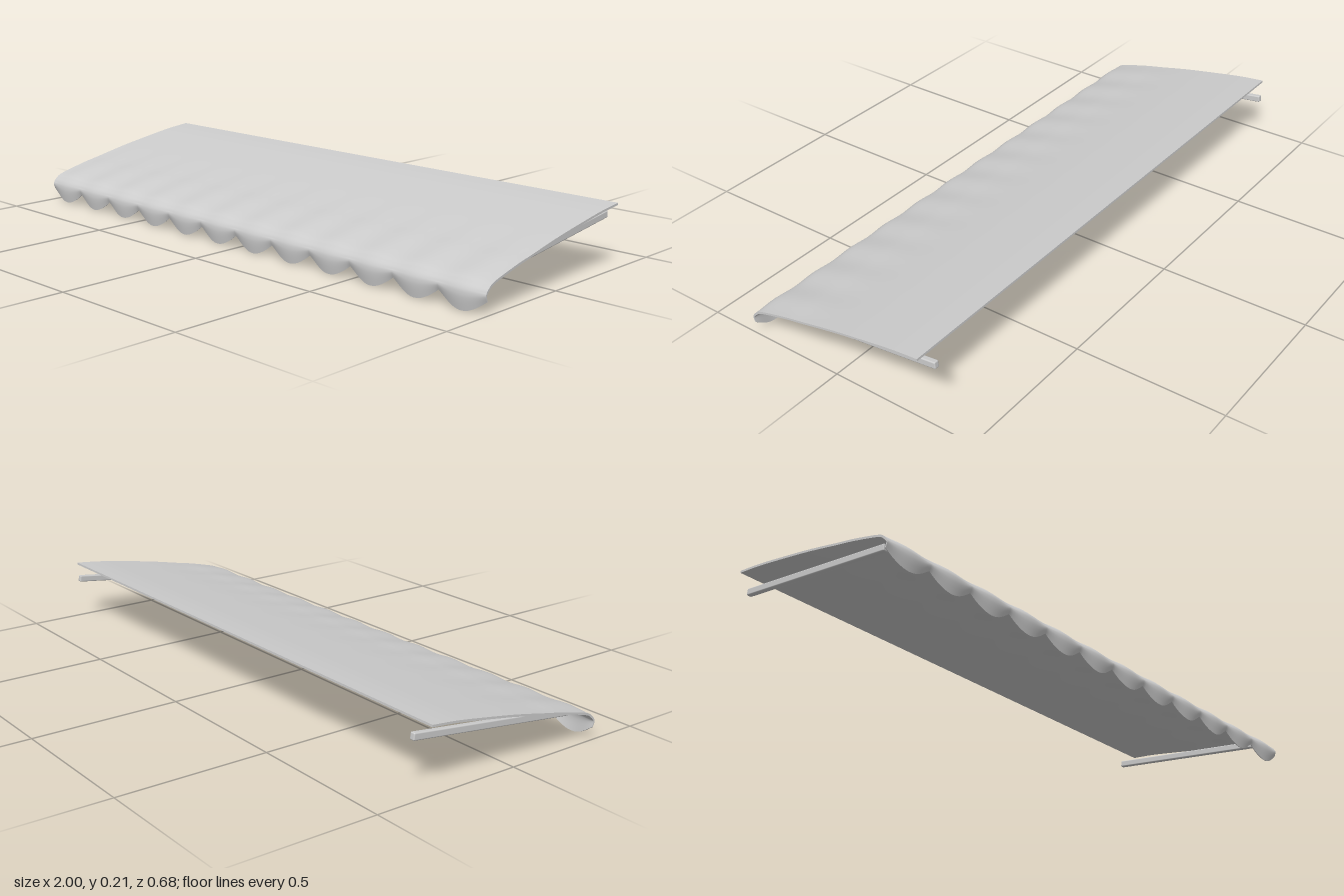
import * as THREE from 'three';
import { RoundedBoxGeometry } from 'three/addons/geometries/RoundedBoxGeometry.js';

const SCALLOPS = 12, PER_SCALLOP = 14, STEPS = 56, THICK = 0.007;

// Outer side profile as (z, y), from the wall edge to the valance hem
const profile = new THREE.SplineCurve([
  [-0.315, 0.211], [-0.23, 0.202], [-0.14, 0.188], [0, 0.164], [0.12, 0.141],
  [0.2, 0.126], [0.295, 0.102], [0.323, 0.085], [0.336, 0.07], [0.34, 0.054],
  [0.339, 0.034], [0.334, 0.004],
].map(([z, y]) => new THREE.Vector2(z, y)));

// Smooth surface through rows of points
function patch(rows) {
  const n = rows[0].length, index = [];
  for (let i = 0; i < rows.length - 1; i++) {
    for (let j = 0; j < n - 1; j++) {
      const a = i * n + j, b = a + 1, c = a + n, d = c + 1;
      index.push(a, b, c, b, d, c);
    }
  }
  const geometry = new THREE.BufferGeometry().setFromPoints(rows.flat());
  geometry.setIndex(index);
  geometry.computeVertexNormals();
  return geometry;
}

// Outer and inner cloth outline at x; s is 0 at a cusp and 1 mid scallop
function section(x, s) {
  const soft = s * s;
  const hem = 0.044 - 0.04 * s;
  const pts = [];
  for (let j = 0; j <= STEPS; j++) {
    const t = j / STEPS;
    const p = profile.getPoint(t);
    const front = THREE.MathUtils.smoothstep(p.x, -0.05, 0.3);
    const roof = THREE.MathUtils.smoothstep(p.y, 0.06, 0.1);
    if (p.y < 0.07) p.y = 0.07 - (0.07 - p.y) * (0.07 - hem) / 0.066;
    p.y -= 0.005 * (1 - soft) * front * roof;
    p.x -= 0.006 * (1 - soft) * front * (1 - roof);
    pts.push(p);
  }
  const outer = [], inner = [];
  pts.forEach((p, j) => {
    const d = pts[Math.min(j + 1, STEPS)].clone().sub(pts[Math.max(j - 1, 0)]).normalize();
    const w = THICK * (1 - 0.5 * THREE.MathUtils.smoothstep(j / STEPS, 0.5, 1));
    outer.push(new THREE.Vector3(x, p.y, p.x));
    inner.push(new THREE.Vector3(x, p.y - d.x * w, p.x + d.y * w));
  });
  return { outer, inner };
}

export function createModel() {
  const model = new THREE.Group();
  model.name = 'awning';
  const cloth = new THREE.MeshStandardMaterial({ name: 'light grey', color: 0xcccccc });

  const canopy = new THREE.Group();
  canopy.name = 'canopy';
  model.add(canopy);
  const add = (name, geometry, parent = canopy) => {
    const mesh = new THREE.Mesh(geometry, cloth);
    mesh.name = name;
    parent.add(mesh);
    return mesh;
  };

  // Cloth sections from left to right across all scallops
  const count = SCALLOPS * PER_SCALLOP, sections = [];
  for (let i = 0; i <= count; i++) {
    const u = (i % PER_SCALLOP) / PER_SCALLOP;
    sections.push(section(-1 + 2 * i / count, Math.sin(Math.PI * u)));
  }
  const first = sections[0], last = sections[count];
  add('canopyTop', patch(sections.map(s => s.outer)));
  add('canopyUnderside', patch(sections.map(s => [...s.inner].reverse())));
  add('wallEdge', patch(sections.map(s => [s.inner[0], s.outer[0]])));
  add('scallopedHem', patch(sections.map(s => [s.outer[STEPS], s.inner[STEPS]])));
  add('leftEdge', patch(last.outer.map((p, j) => [last.inner[j], p])));
  add('rightEdge', patch(first.outer.map((p, j) => [p, first.inner[j]])));

  // Sloping support arms under both ends
  for (const side of [-1, 1]) {
    const arm = add(side > 0 ? 'leftArm' : 'rightArm',
      new RoundedBoxGeometry(0.018, 0.023, 0.612, 3, 0.004), model);
    arm.position.set(side * 0.945, 0.128, -0.034);
    arm.rotation.x = Math.atan2(0.075, 0.608);
  }
  return model;
}
